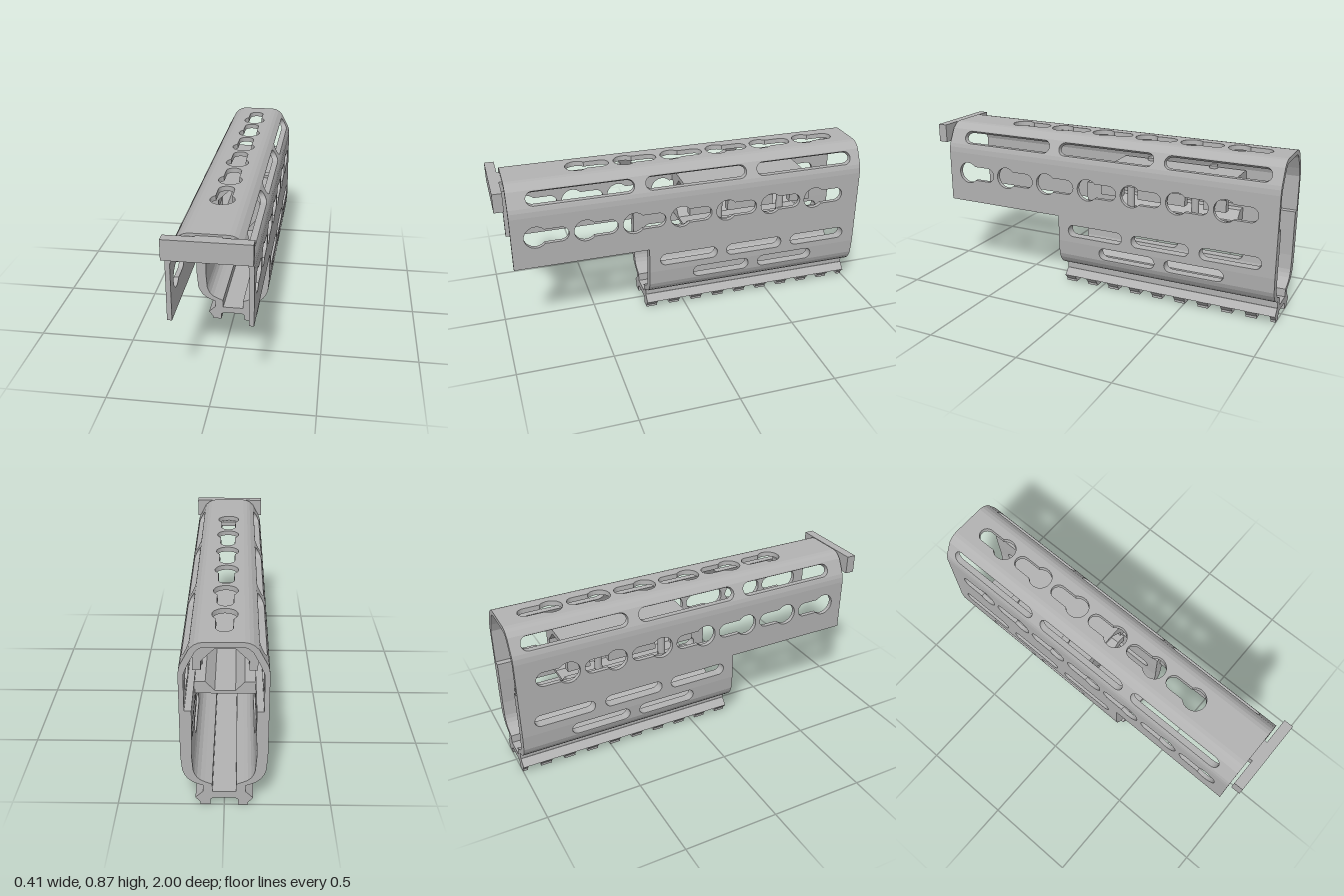
import * as THREE from 'three';
import { mergeGeometries } from 'three/addons/utils/BufferGeometryUtils.js';

const metal = new THREE.MeshStandardMaterial({ color: 0xb2b2b2 });
metal.name = 'grey metal';

const BACK = -1, FRONT = 0.935, LOWER_FRONT = 0.22;

// Rounded-end slot in a panel: u across the panel, z along it
function slot(u, r, z0, z1) {
  const p = new THREE.Path();
  p.absarc(u, z1 - r, r, 0, Math.PI);
  p.absarc(u, z0 + r, r, Math.PI, 2 * Math.PI);
  p.closePath();
  return p;
}

// Round hole with a narrow neck running backwards
function keyhole(u, z) {
  const r = 0.06, n = 0.04, a = Math.asin(n / r), p = new THREE.Path();
  p.absarc(u, z, r, -Math.PI / 2 + a, 1.5 * Math.PI - a);
  p.absarc(u, z - 0.13, n, Math.PI, 2 * Math.PI);
  p.closePath();
  return p;
}

// Wall panel between two outer and two inner profile points, with holes cut through
function panel([a, b], [ai, bi], z0, z1, holes = () => []) {
  const L = Math.hypot(b[0] - a[0], b[1] - a[1]);
  const s = new THREE.Shape();
  s.moveTo(0, z0).lineTo(L, z0).lineTo(L, z1).lineTo(0, z1).closePath();
  s.holes.push(...holes(L));
  const g = new THREE.ExtrudeGeometry(s, { depth: 1, bevelEnabled: false, curveSegments: 10 });
  const p = g.attributes.position;
  for (let i = 0; i < p.count; i++) {
    const t = p.getX(i) / L, z = p.getY(i), w = p.getZ(i);
    const at = k => (a[k] + (b[k] - a[k]) * t) * (1 - w) + (ai[k] + (bi[k] - ai[k]) * t) * w;
    p.setXYZ(i, at(0), at(1), z);
  }
  g.computeVertexNormals();
  return g;
}

const flip = ([x, y]) => [-x, y];

// The same panel on both sides
function panelPair([a, b], [ai, bi], z0, z1, holes = () => []) {
  return [
    panel([a, b], [ai, bi], z0, z1, holes),
    panel([flip(b), flip(a)], [flip(bi), flip(ai)], z0, z1, holes),
  ];
}

// Cross-section extruded along z
function bar(points, z0, z1) {
  const s = new THREE.Shape(points.map(p => new THREE.Vector2(...p)));
  return new THREE.ExtrudeGeometry(s, { depth: z1 - z0, bevelEnabled: false }).translate(0, 0, z0);
}
const barPair = (points, z0, z1) => [bar(points, z0, z1), bar(points.map(flip), z0, z1)];

const box = (x0, x1, y0, y1, z0, z1) =>
  new THREE.BoxGeometry(x1 - x0, y1 - y0, z1 - z0).translate((x0 + x1) / 2, (y0 + y1) / 2, (z0 + z1) / 2);

export function createModel() {
  const model = new THREE.Group();
  model.name = 'handguard';
  const add = (name, geometries) => {
    const list = geometries.map(g => (g.index ? g.toNonIndexed() : g));
    const mesh = new THREE.Mesh(mergeGeometries(list), metal);
    mesh.name = name;
    model.add(mesh);
  };

  // Top wall with a row of keyholes
  const topHoles = L => Array.from({ length: 6 }, (_, i) => keyhole(L / 2, 0.55 - 0.256 * i));
  add('topWall', [panel([[-0.09, 0.865], [0.09, 0.865]], [[-0.085, 0.84], [0.085, 0.84]], BACK, FRONT, topHoles)]);

  // Rounded shoulders with long slots
  const shoulderOut = [[0.09, 0.865], [0.11, 0.861], [0.128, 0.852], [0.15, 0.832], [0.191, 0.753], [0.197, 0.733], [0.2, 0.705]];
  const shoulderIn = [[0.085, 0.84], [0.099, 0.838], [0.112, 0.83], [0.126, 0.815], [0.158, 0.753], [0.168, 0.728], [0.177, 0.705]];
  const shoulderSlots = L => [0.84, 0.225, -0.39].map(z => slot(L / 2, 0.037, z - 0.555, z));
  for (let i = 0; i < 6; i++) {
    add('shoulder', panelPair(shoulderOut.slice(i, i + 2), shoulderIn.slice(i, i + 2), BACK, FRONT, i === 3 ? shoulderSlots : undefined));
  }

  // Side walls; the keyhole row sits on the panel's centre line
  const sideHoles = L => Array.from({ length: 7 }, (_, i) => keyhole(L / 2, 0.81 - 0.2565 * i));
  add('sideWall', [
    ...panelPair([[0.2, 0.705], [0.2, 0.475]], [[0.177, 0.705], [0.177, 0.475]], BACK, FRONT, sideHoles),
    ...panelPair([[0.2, 0.475], [0.2, 0.418]], [[0.177, 0.475], [0.177, 0.418]], BACK, FRONT),
  ]);
  add('innerLedge', [-1, 1].map(s => box(s > 0 ? 0.145 : -0.177, s > 0 ? 0.177 : -0.145, 0.418, 0.52, BACK, LOWER_FRONT)));

  // Thicker lower shell curving in to the rail neck
  const lowOut = [[0.2, 0.418], [0.2, 0.277], [0.193, 0.197], [0.184, 0.173], [0.17, 0.151], [0.15, 0.133], [0.125, 0.12], [0.098, 0.11], [0.098, 0.075]];
  const lowIn = [[0.145, 0.418], [0.149, 0.277], [0.143, 0.197], [0.137, 0.177], [0.126, 0.157], [0.11, 0.142], [0.09, 0.132], [0.056, 0.118], [0.055, 0.075]];
  const lowHoles = {
    0: L => [0.16, -0.22, -0.603].map(z => slot(L * 0.53, 0.033, z - 0.326, z)),
    1: L => [-0.028, -0.41].map(z => slot(L / 2, 0.034, z - 0.326, z)),
  };
  for (let i = 0; i < 8; i++) {
    add('lowerShell', panelPair(lowOut.slice(i, i + 2), lowIn.slice(i, i + 2), BACK, LOWER_FRONT, lowHoles[i]));
  }

  // Accessory rail with cross grooves
  add('railBase', [bar([[-0.135, 0.04], [0.135, 0.04], [0.1, 0.075], [-0.1, 0.075]], BACK, LOWER_FRONT)]);
  const tooth = [[0.135, 0.04], [0.05, 0.04], [0.065, 0.03], [0.065, 0], [0.112, 0], [0.112, 0.013]];
  const teeth = [];
  for (let i = 0; i < 10; i++) {
    const z = LOWER_FRONT - 0.1325 * i;
    teeth.push(...barPair(tooth, Math.max(BACK, z - 0.06), z));
  }
  add('railTeeth', teeth);

  // Inner barrel clamp: upper half, legs, lower half
  const C0 = -0.72, C1 = -0.02;
  add('upperClamp', [bar([
    [-0.177, 0.635], [-0.095, 0.635], [-0.05, 0.68], [0.05, 0.68], [0.095, 0.635], [0.177, 0.635],
    [0.177, 0.69], [0.16, 0.705], [-0.16, 0.705], [-0.177, 0.69],
  ], C0, C1)]);
  const leg = [[0.095, 0.635], [0.115, 0.615], [0.115, 0.565], [0.155, 0.565], [0.155, 0.635]];
  add('clampLegs', [[-0.72, -0.6], [-0.5, -0.235], [-0.14, -0.02]].flatMap(([a, b]) => barPair(leg, a, b)));
  add('lowerClamp', [bar([
    [-0.145, 0.438], [0.145, 0.438], [0.145, 0.503], [0.095, 0.503],
    [0.05, 0.455], [-0.05, 0.455], [-0.095, 0.503], [-0.145, 0.503],
  ], C0, C1)]);

  // Clamp bolts: shaft, head and nut
  const bolts = [];
  for (const s of [-1, 1]) for (const z of [-0.19, -0.55]) {
    const cyl = (x, r, y0, y1, n) =>
      bolts.push(new THREE.CylinderGeometry(r, r, y1 - y0, n).translate(s * x, (y0 + y1) / 2, z));
    cyl(0.135, 0.02, 0.49, 0.65, 12);
    cyl(0.137, 0.023, 0.69, 0.72, 12);
    cyl(0.113, 0.023, 0.427, 0.45, 6);
  }
  add('clampBolts', bolts);

  // Front end plate and the tongue holding it
  add('frontPlate', [box(-0.203, 0.203, 0.757, 0.857, 0.95, 1)]);
  add('frontTongue', [box(-0.06, 0.06, 0.8, 0.825, 0.62, 0.95), box(-0.06, 0.06, 0.8, 0.855, 0.925, 0.95)]);

  return model;
}
